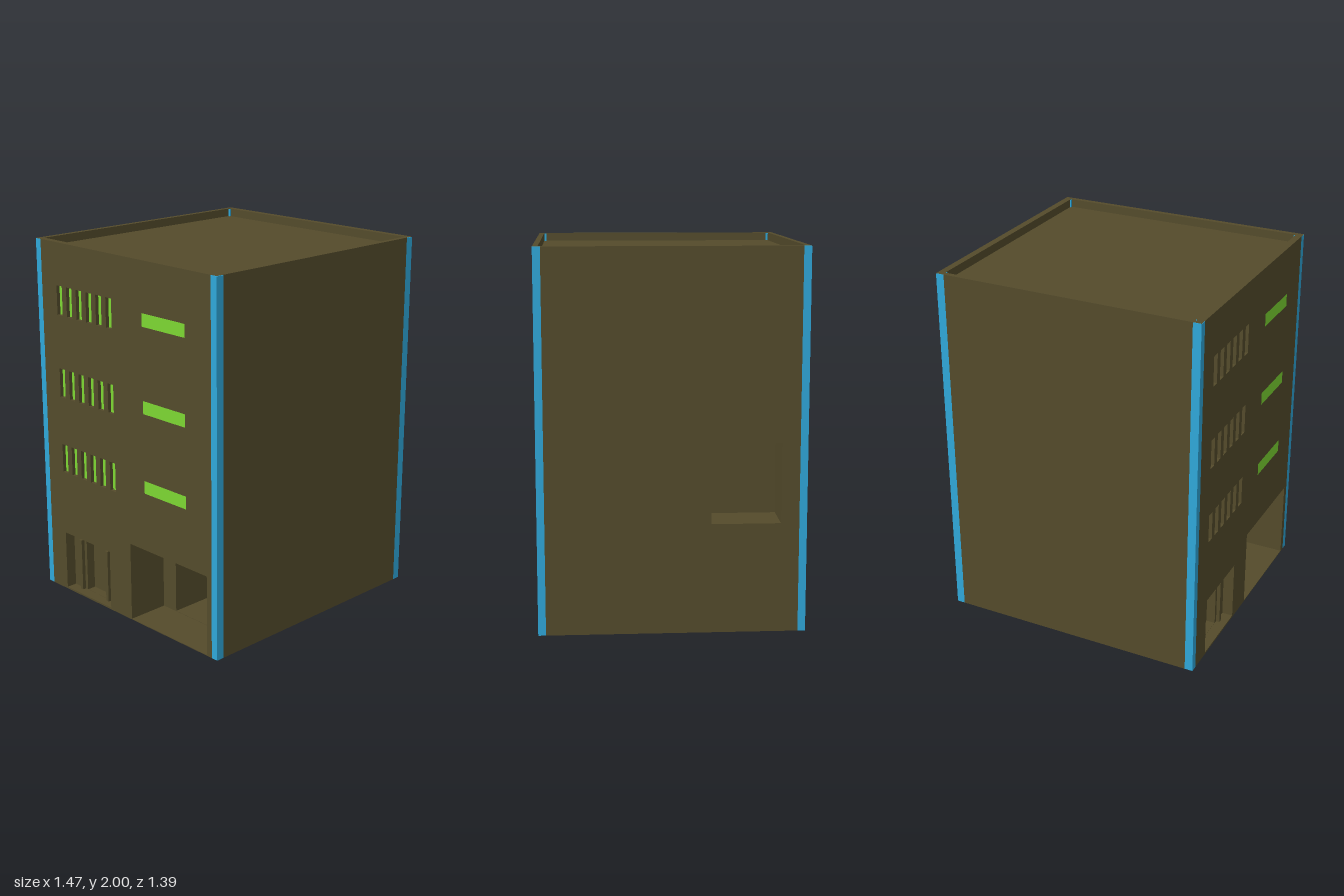
import * as THREE from 'three';

const W = 0.735, D = 0.695, H = 2;      // half width, half depth, height
const PX = 0.045, PZ = 0.04;            // corner post size

const paint = (color) => new THREE.MeshStandardMaterial({ color, side: THREE.DoubleSide, flatShading: true });

export function createModel() {
  const model = new THREE.Group();
  const olive = paint(0x544b2b), blue = paint(0x2fa8da), green = paint(0x7dd733);

  function add(name, geometry, material = olive) {
    const mesh = new THREE.Mesh(geometry, material);
    mesh.name = name;
    model.add(mesh);
    return mesh;
  }

  // Flat panel [u0, u1, v0, v1] with rectangular holes
  function panel(rect, holes = []) {
    const corners = ([a, b, c, d]) => [[a, c], [b, c], [b, d], [a, d]].map((p) => new THREE.Vector2(...p));
    const shape = new THREE.Shape(corners(rect));
    for (const h of holes) shape.holes.push(new THREE.Path(corners(h)));
    return new THREE.ShapeGeometry(shape);
  }
  const sidePanel = (x, rect, holes) => panel(rect, holes).rotateY(-Math.PI / 2).translate(x, 0, 0);
  const flatPanel = (y, rect, holes) => panel(rect, holes).rotateX(Math.PI / 2).translate(0, y, 0);

  // Box without some faces (0 +x, 1 -x, 2 +y, 3 -y, 4 +z, 5 -z)
  function openBox([x0, x1], [y0, y1], [z0, z1], omit) {
    const g = new THREE.BoxGeometry(x1 - x0, y1 - y0, z1 - z0);
    const index = Array.from(g.index.array).filter((_, i) => !omit.includes(Math.floor(i / 6)));
    g.setIndex(index);
    g.clearGroups();
    return g.translate((x0 + x1) / 2, (y0 + y1) / 2, (z0 + z1) / 2);
  }

  // Corner posts
  for (const sx of [-1, 1]) for (const sz of [-1, 1]) {
    add('cornerPost', new THREE.BoxGeometry(PX, H - 0.002, PZ)
      .translate(sx * (W - PX / 2), H / 2 - 0.001, sz * (D - PZ / 2)), blue);
  }

  // Plain front and back walls
  const wx = W - PX, wz = D - PZ;
  add('frontWall', panel([-wx, wx, 0, H]).translate(0, 0, D));
  add('backWall', panel([-wx, wx, 0, H]).translate(0, 0, -D));

  // Left wall with one deep square recess
  const bay = [-0.56, -0.2, 0.58, 1.0];
  add('leftWall', sidePanel(W, [-wz, wz, 0, H], [bay]));
  add('recessedBay', openBox([W - 0.23, W], [0.58, 1.0], [-0.56, -0.2], [0]));

  // Street wall openings: slit windows, wide windows, doorway and entrance
  const slits = [], wides = [];
  for (const y of [0.71, 1.145, 1.605]) {
    for (let i = 0; i < 6; i++) slits.push([-0.53 + i * 0.081, -0.485 + i * 0.081, y, y + 0.162]);
    wides.push([0.155, 0.47, y + 0.056, y + 0.126]);
  }
  const door = [-0.53, -0.145, 0.01, 0.345];
  const entry = [0.03, 0.62, 0.004, 0.445];
  add('streetWall', sidePanel(-W, [-wz, wz, 0, H], [...slits, ...wides, door, entry]));
  for (const r of slits) {
    add('slitWindowReveal', openBox([-W, -W + 0.02], [r[2], r[3]], [r[0], r[1]], [0, 1]));
    add('slitWindow', sidePanel(-W + 0.02, r), green);
  }
  for (const r of wides) add('wideWindow', sidePanel(-W, r), green);

  // Shallow doorway with a deeper door bay and slim jambs
  const dx = -W + 0.06, doorBay = [-0.42, -0.255, 0.011, 0.31];
  add('doorway', openBox([-W, dx], [0.01, 0.345], [-0.53, -0.145], [0, 1]));
  add('doorwayBack', sidePanel(dx, door, [doorBay]));
  add('doorBay', openBox([dx, dx + 0.05], [0.011, 0.31], [-0.42, -0.255], [1]));
  for (const z of [-0.45, -0.225]) add('doorJamb', new THREE.BoxGeometry(0.02, 0.3, 0.02).translate(dx - 0.01, 0.16, z));

  // Entrance alcove
  const ax = -0.5, tz0 = 0.13, tz1 = 0.54, th = 0.38;
  add('entranceAlcove', openBox([-W, ax], [0.004, 0.445], [0.03, 0.62], [0, 1]));
  add('alcoveBack', sidePanel(ax, entry, [[tz0, tz1, 0.006, th]]));
  add('entranceFloor', flatPanel(0.002, [-W, -0.3, 0.03, 0.62]));

  // Sloping passage rising from the alcove to an upper landing
  const profile = [[ax, 0.006], [-0.05, 0.006], [0.24, 0.3], [0.62, 0.3], [0.62, 0.68], [-0.11, 0.68], [-0.4, th], [ax, th]];
  const outline = new THREE.Shape(profile.map((p) => new THREE.Vector2(...p)));
  for (const z of [tz0, tz1]) add('passageSide', new THREE.ShapeGeometry(outline).translate(0, 0, z));
  const pos = [], idx = [];
  profile.forEach(([x, y], i) => {
    pos.push(x, y, tz0, x, y, tz1);
    const a = i * 2;
    if (i < profile.length - 1) idx.push(a, a + 1, a + 2, a + 1, a + 3, a + 2);
  });
  const skin = new THREE.BufferGeometry();
  skin.setAttribute('position', new THREE.Float32BufferAttribute(pos, 3));
  skin.setIndex(idx);
  skin.computeVertexNormals();
  add('passageFloorAndCeiling', skin);

  // Parapet rim and sunken roof
  const rx = 0.697, rz = 0.667, ry = H - 0.045;
  add('parapetRim', flatPanel(H, [-W, W, -D, D], [[-rx, rx, -rz, rz]]));
  add('parapetInside', openBox([-rx, rx], [ry, H], [-rz, rz], [2, 3]));
  add('roof', flatPanel(ry, [-rx, rx, -rz, rz]));

  return model;
}
